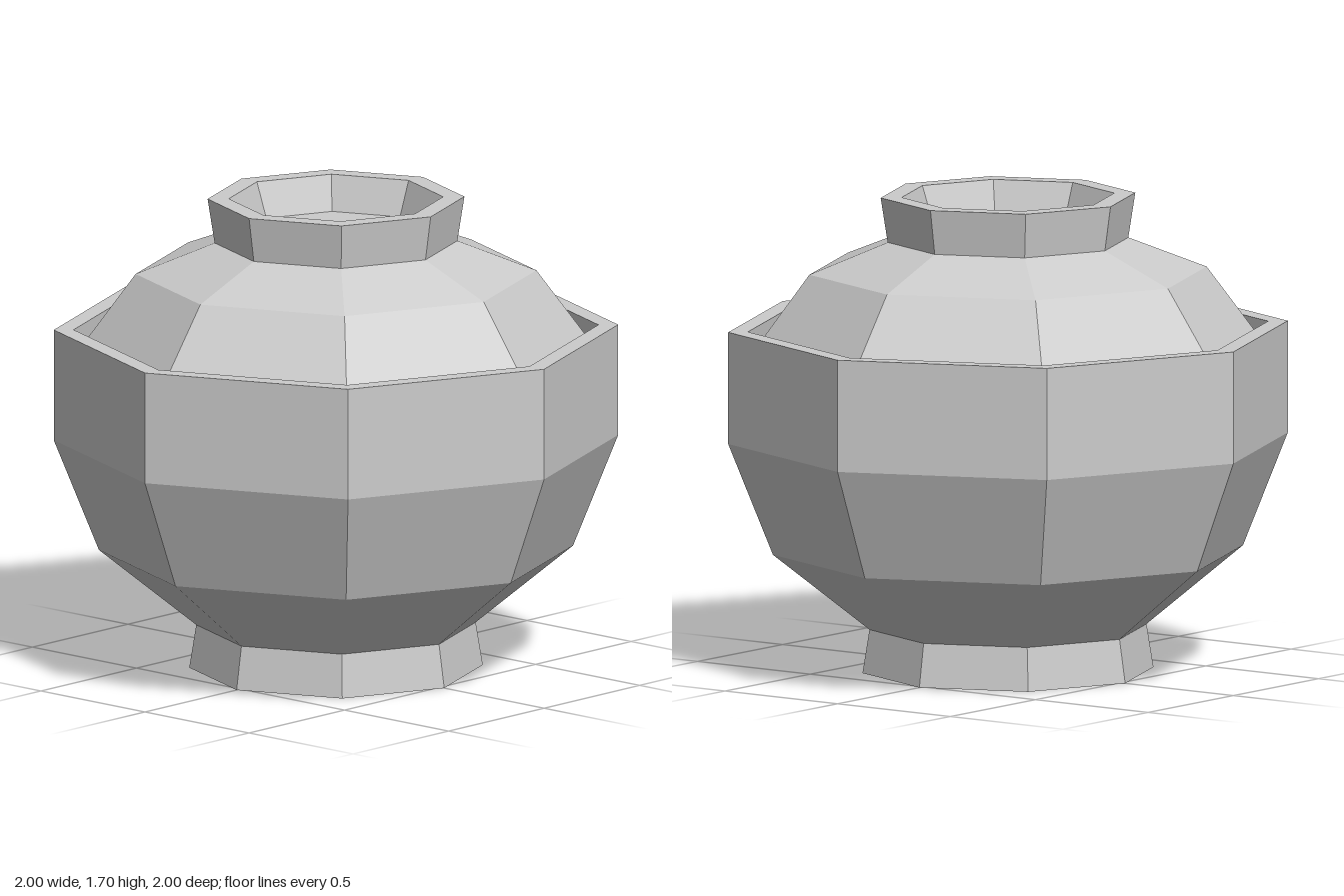
import * as THREE from 'three';

const SIDES = 8;
const material = new THREE.MeshStandardMaterial({ color: 0xcccccc, flatShading: true });

// Faceted solid of revolution; the profile runs from the axis under the part,
// up its outside, and back to the axis over the top.
function turned(name, profile) {
  const points = profile.map(([r, y]) => new THREE.Vector2(r, y));
  const geometry = new THREE.LatheGeometry(points, SIDES).toNonIndexed();
  geometry.computeVertexNormals();
  const mesh = new THREE.Mesh(geometry, material);
  mesh.name = name;
  return mesh;
}

export function createModel() {
  const model = new THREE.Group();
  model.name = 'liddedBowl';

  // Bowl with a hollow foot ring, a flat rim and an inner wall
  model.add(turned('bowl', [
    [0, 0.12], [0.38, 0.12], [0.43, 0],               // recess under the foot
    [0.52, 0], [0.495, 0.155],                        // foot ring
    [0.84, 0.43], [1, 0.83], [1, 1.23],               // outer wall
    [0.93, 1.23], [0.93, 0.85], [0.78, 0.47],         // rim and inner wall
    [0.46, 0.22], [0, 0.22],                          // inner floor
  ]));

  // Domed lid set inside the rim, with a flared ring as its handle
  model.add(turned('lid', [
    [0, 1.48], [0.41, 1.48], [0.66, 1.38], [0.84, 1.143], // underside
    [0.922, 1.143], [0.71, 1.43], [0.43, 1.54],           // dome
    [0.455, 1.7], [0.38, 1.7],                            // handle ring
    [0.335, 1.575], [0, 1.575],                           // recess in the handle
  ]));

  return model;
}
